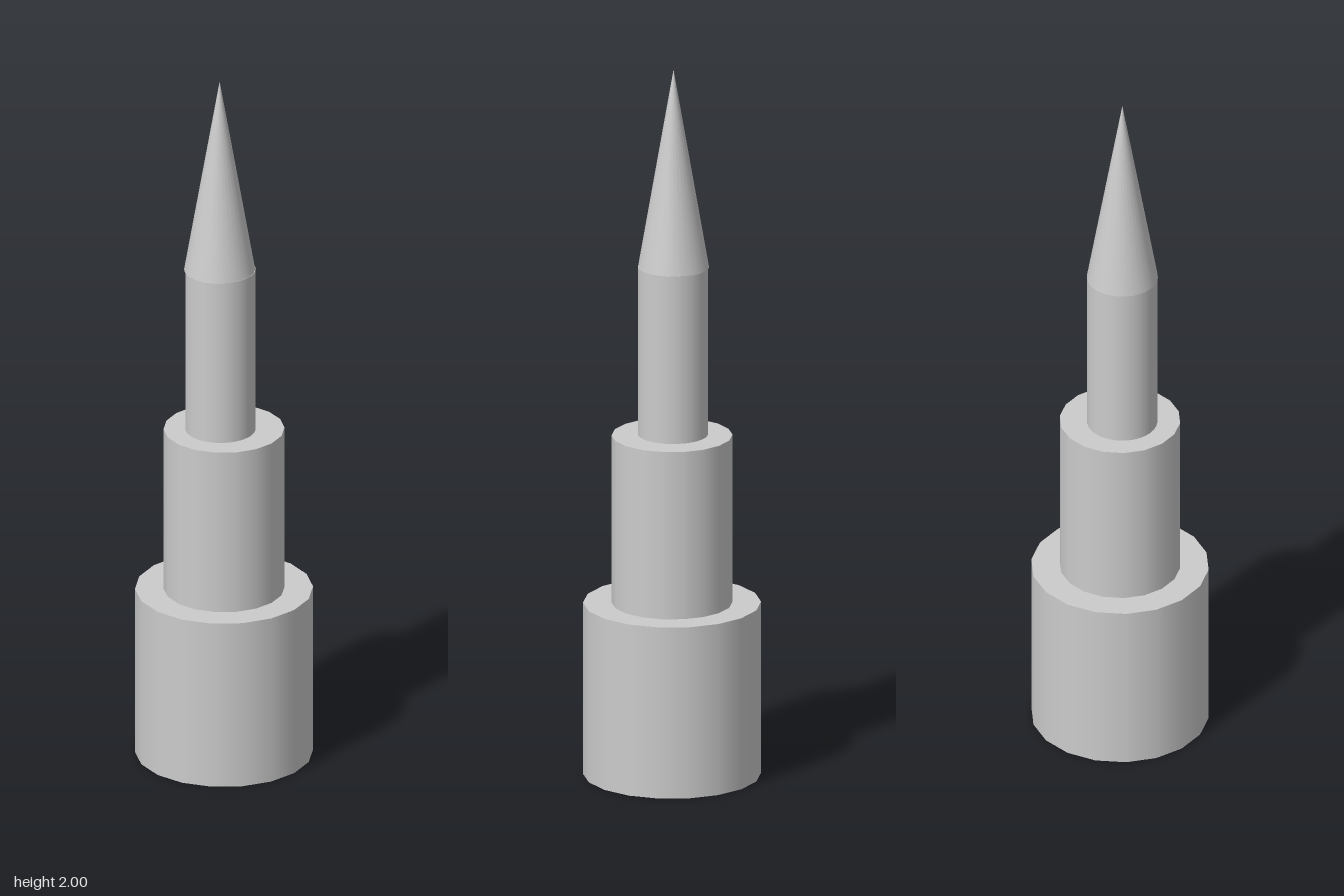
import * as THREE from 'three';

const material = new THREE.MeshStandardMaterial({ color: 0xcccccc });

// Upright round part spanning y0..y1, with a polygon corner on the +x axis
function roundPart(name, rTop, rBottom, y0, y1, sides, x = 0, z = 0) {
  const geometry = new THREE.CylinderGeometry(rTop, rBottom, y1 - y0, sides, 1, false, Math.PI / 2);
  const mesh = new THREE.Mesh(geometry, material);
  mesh.name = name;
  mesh.position.set(x, (y0 + y1) / 2, z);
  return mesh;
}

export function createModel() {
  const group = new THREE.Group();
  group.name = 'steppedSpire';
  group.add(
    // Two concentric stepped drums
    roundPart('baseDrum', 0.243, 0.243, 0, 0.487, 18),
    roundPart('middleDrum', 0.165, 0.165, 0.487, 0.963, 18),
    // Slim shaft and pointed tip, set slightly off centre
    roundPart('shaft', 0.096, 0.096, 0.963, 1.44, 32, -0.006, 0.008),
    roundPart('tip', 0, 0.097, 1.438, 2, 32, -0.008, 0.009)
  );
  return group;
}
